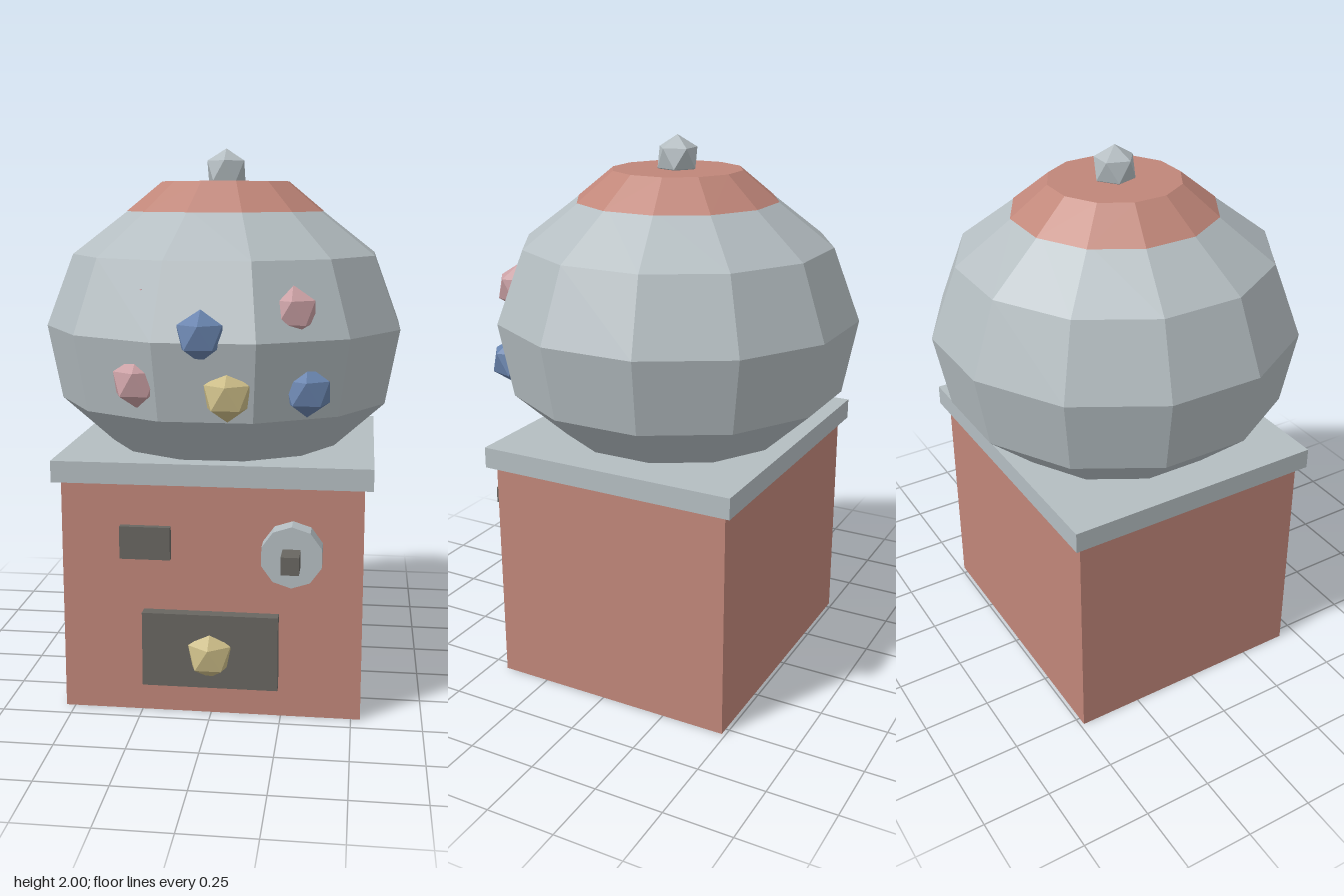
import * as THREE from 'three';

const paint = (name, color) => {
  const m = new THREE.MeshStandardMaterial({ color, flatShading: true });
  m.name = name;
  return m;
};

export function createModel() {
  const red = paint('brick red', 0xc08679);
  const silver = paint('silver grey', 0xb4bdc1);
  const dark = paint('charcoal', 0x686661);
  const blue = paint('blue', 0x6883ad);
  const yellow = paint('yellow', 0xc9ba85);
  const pink = paint('pink', 0xc99fa3);

  const model = new THREE.Group();
  model.name = 'gumballMachine';
  const Z = -0.027; // depth of the main axis

  const add = (name, geometry, material, x, y, z) => {
    const mesh = new THREE.Mesh(geometry, material);
    mesh.name = name;
    mesh.position.set(x, y, z);
    model.add(mesh);
    return mesh;
  };
  // Box given by its extents
  const box = (name, material, x0, x1, y0, y1, z0, z1) =>
    add(name, new THREE.BoxGeometry(x1 - x0, y1 - y0, z1 - z0), material,
      (x0 + x1) / 2, (y0 + y1) / 2, (z0 + z1) / 2);
  // Icosahedron standing on a corner, with an upper corner facing the front
  const ball = (name, material, r, x, y, z) =>
    add(name, new THREE.IcosahedronGeometry(r, 0)
      .rotateZ(Math.atan(2 / (1 + Math.sqrt(5)))).rotateY(Math.PI / 2), material, x, y, z);

  // Base and its top plate
  box('base', red, -0.533, 0.533, 0, 0.845, -0.486, 0.433);
  box('topPlate', silver, -0.5625, 0.5625, 0.843, 0.92, -0.515, 0.461);

  // Twelve-sided globe with a flat side to the front
  const profile = [[0.42, 0.91], [0.43, 0.92], [0.617, 1.09], [0.668, 1.36], [0.568, 1.62], [0.352, 1.785]]
    .map(([r, y]) => new THREE.Vector2(r, y));
  add('globe', new THREE.LatheGeometry(profile, 12, Math.PI / 12), silver, 0, 0, Z);

  // Lid and finial
  add('lid', new THREE.CylinderGeometry(0.237, 0.369, 0.107, 12, 1, false, Math.PI / 12), red, 0, 1.8275, Z);
  ball('finial', silver, 0.08, 0, 1.92, Z);

  // Coin slot, tray, and knob with handle
  box('coinSlot', dark, -0.322, -0.142, 0.572, 0.69, 0.42, 0.458);
  box('tray', dark, -0.241, 0.241, 0.112, 0.382, 0.42, 0.478);
  add('knob', new THREE.CylinderGeometry(0.109, 0.109, 0.09, 10).rotateX(Math.PI / 2), silver, 0.288, 0.614, 0.465);
  box('knobHandle', dark, 0.257, 0.319, 0.582, 0.644, 0.5, 0.602);

  // Gumballs showing through the globe, and one in the tray
  [
    [blue, -0.012, 1.38, 0.588],
    [pink, -0.237, 1.215, 0.53],
    [yellow, 0.075, 1.182, 0.577],
    [blue, 0.333, 1.186, 0.478],
    [pink, 0.282, 1.453, 0.475],
    [pink, -0.217, 1.487, 0.444],
    [yellow, 0, 0.232, 0.46],
  ].forEach(([m, x, y, z], i) => ball('gumball' + (i + 1), m, 0.088, x, y, z));

  return model;
}
